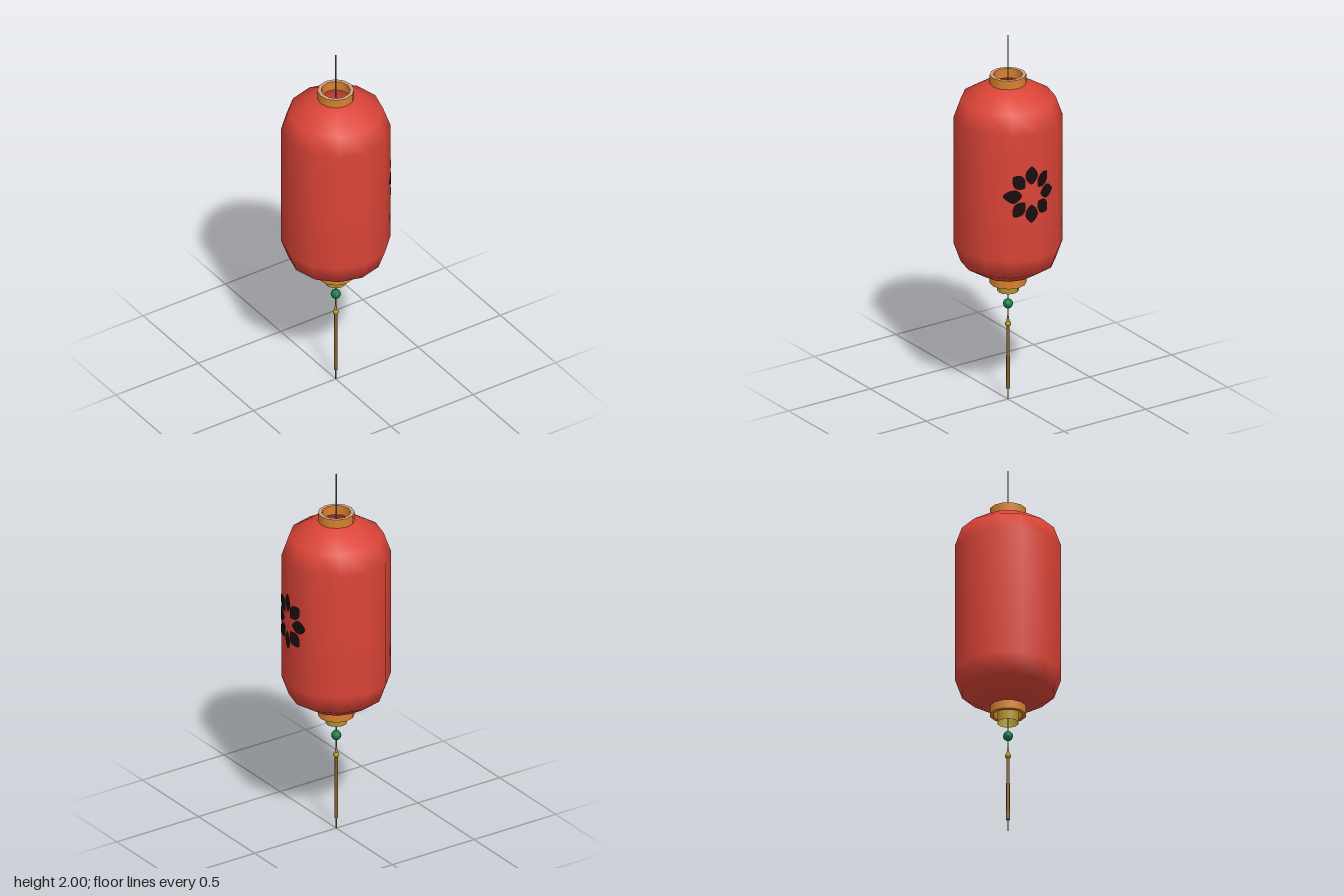
import * as THREE from 'three';

const SIDES = 12;
const mat = (name, color, side = THREE.FrontSide) => {
  const m = new THREE.MeshStandardMaterial({ color, side });
  m.name = name;
  return m;
};

const lathe = (points, sides = SIDES) =>
  new THREE.LatheGeometry(points.map(([r, y]) => new THREE.Vector2(r, y)), sides);

// Distance from the axis to the flat-sided shade at depth z, on its +x side
function shadeX(z, radius) {
  const step = (Math.PI * 2) / SIDES;
  const a = Math.asin(THREE.MathUtils.clamp(z / radius, -1, 1));
  const i = Math.floor(a / step);
  const z0 = radius * Math.sin(i * step), z1 = radius * Math.sin((i + 1) * step);
  const x0 = radius * Math.cos(i * step), x1 = radius * Math.cos((i + 1) * step);
  return x0 + ((x1 - x0) * (z - z0)) / (z1 - z0);
}

// Pointed petal laid on the shade surface
function petalGeometry(angle, radius) {
  const g = new THREE.PlaneGeometry(1, 1, 10, 20);
  const p = g.attributes.position;
  for (let i = 0; i < p.count; i++) {
    const t = p.getY(i) + 0.5;
    const along = 0.055 + 0.1 * t;
    const across = p.getX(i) * 0.074 * Math.pow(Math.sin(Math.PI * t), 0.75);
    const u = (along * Math.cos(angle) - across * Math.sin(angle)) * 0.87;
    const v = along * Math.sin(angle) + across * Math.cos(angle);
    const z = 0.04 - u;
    p.setXYZ(i, shadeX(z, radius) + 0.003, 1.228 + v, z);
  }
  g.computeVertexNormals();
  return g;
}

export function createModel() {
  const group = new THREE.Group();
  const red = mat('red paper', 0xdb4437, THREE.DoubleSide);
  const orange = mat('orange wood', 0xd9822f, THREE.DoubleSide);
  const pale = mat('pale rim', 0xd6a083, THREE.DoubleSide);
  const gold = mat('gold', 0xb5952f, THREE.DoubleSide);
  const bronze = mat('tassel bronze', 0x80652a);
  const green = mat('jade green', 0x0e7a48);
  const black = mat('black ink', 0x1a0d0c, THREE.DoubleSide);
  const grey = mat('cord grey', 0x77735f);

  const add = (name, geometry, material, y = 0) => {
    const m = new THREE.Mesh(geometry, material);
    m.name = name;
    m.position.y = y;
    group.add(m);
    return m;
  };

  // Paper shade, open at both ends
  const R = 0.277;
  add('shade', lathe([
    [0.085, 0.684], [0.14, 0.704], [0.24, 0.766], [R, 0.87],
    [R, 1.555], [0.24, 1.659], [0.14, 1.721], [0.085, 1.741],
  ]), red);

  // Eight-petal flower on the left side
  const flower = new THREE.Group();
  flower.name = 'flower';
  for (let i = 0; i < 8; i++) {
    const petal = new THREE.Mesh(petalGeometry((i * Math.PI) / 4, R), black);
    petal.name = 'petal';
    flower.add(petal);
  }
  group.add(flower);

  // Collars: outer wall, inner wall and end rim
  const collar = (name, y0, y1, rimY, rimMaterial) => {
    add(name + 'Outer', lathe([[0.093, y0], [0.093, y1]]), orange);
    add(name + 'Inner', lathe([[0.074, y0], [0.074, y1]]), orange);
    add(name + 'Rim', lathe([[0.093, rimY], [0.074, rimY]]), rimMaterial);
  };
  collar('topCollar', 1.733, 1.785, 1.785, pale);
  collar('bottomCollar', 0.642, 0.694, 0.642, orange);

  // Open gold sleeve below the lower collar
  add('sleeve', new THREE.CylinderGeometry(0.055, 0.055, 0.075, SIDES, 1, true), gold, 0.636);

  // Cord, bead and tassel
  add('cord', new THREE.CylinderGeometry(0.003, 0.003, 2, 6), grey, 1);
  add('bead', new THREE.SphereGeometry(0.026, 10, 6), green, 0.526);
  add('knotCap', new THREE.CylinderGeometry(0.004, 0.009, 0.035, 8), gold, 0.44);
  add('knot', new THREE.SphereGeometry(0.016, 8, 6), gold, 0.416);
  add('tassel', new THREE.CylinderGeometry(0.008, 0.01, 0.35, 8), bronze, 0.235);

  return group;
}
